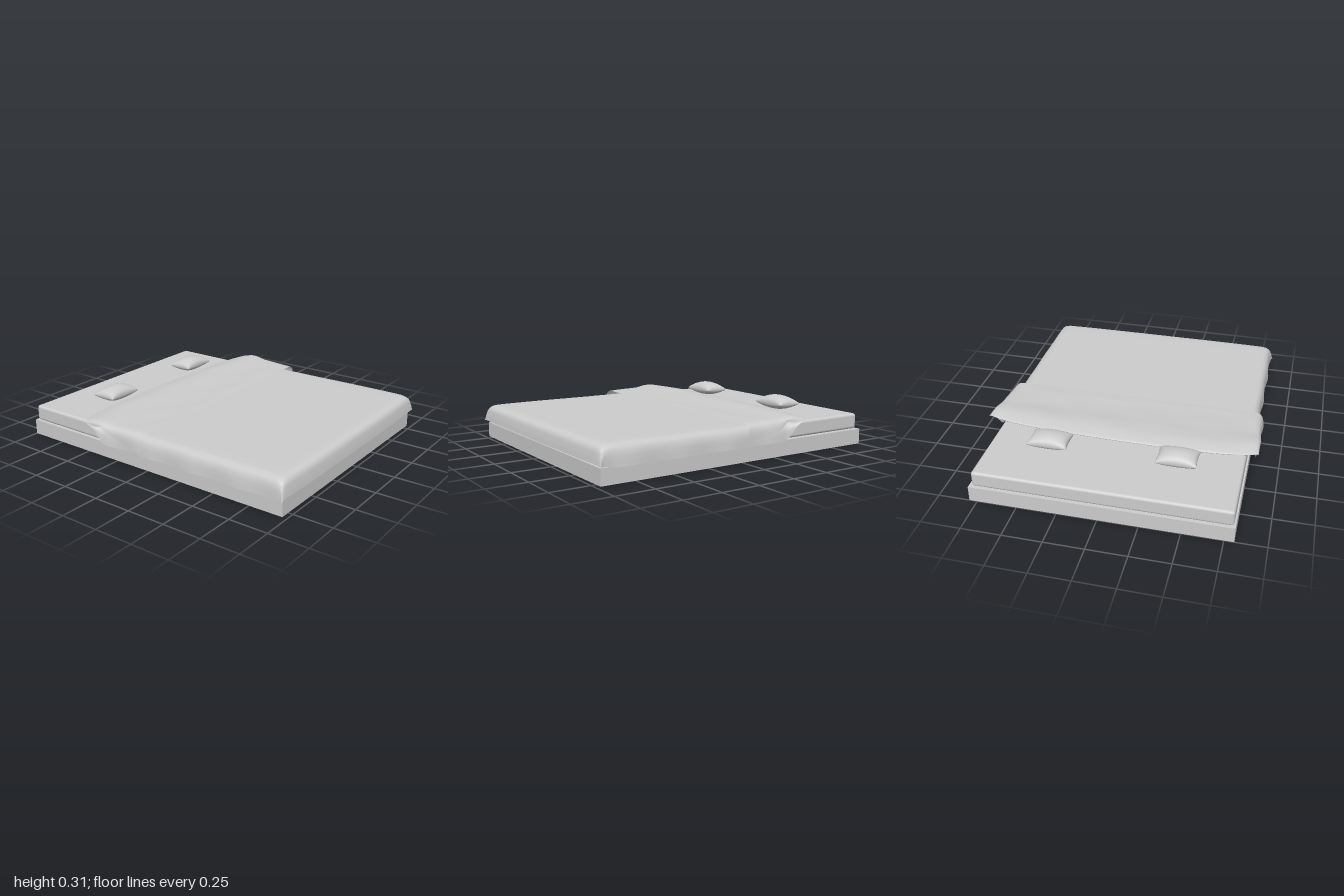
import * as THREE from 'three';
import { mergeVertices } from 'three/addons/utils/BufferGeometryUtils.js';
import { RoundedBoxGeometry } from 'three/addons/geometries/RoundedBoxGeometry.js';

const linen = new THREE.MeshStandardMaterial({ color: 0xcccccc, side: THREE.DoubleSide });
linen.name = 'pale grey';

function part(name, geometry, x = 0, y = 0, z = 0) {
  const mesh = new THREE.Mesh(geometry, linen);
  mesh.name = name;
  mesh.position.set(x, y, z);
  return mesh;
}

// Blanket rows from foot hem, over the bed, round the fold and back:
// [x, top y, side hem y, half width]
const rows = [
  [0.997, 0.118, 0.108, 0.838], [0.99, 0.16, 0.112, 0.836], [0.978, 0.2, 0.112, 0.832],
  [0.95, 0.22, 0.108, 0.83], [0.88, 0.226, 0.1, 0.83], [0.6, 0.226, 0.1, 0.832],
  [0.25, 0.223, 0.1, 0.833], [0, 0.222, 0.1, 0.833], [-0.2, 0.219, 0.102, 0.835],
  [-0.34, 0.216, 0.106, 0.845], [-0.4, 0.217, 0.14, 0.855], [-0.46, 0.222, 0.195, 0.865],
  [-0.505, 0.229, 0.222, 0.872], [-0.514, 0.238, 0.228, 0.876], [-0.49, 0.247, 0.226, 0.878],
  [-0.42, 0.258, 0.222, 0.876], [-0.34, 0.257, 0.228, 0.868], [-0.25, 0.25, 0.19, 0.868],
  [-0.14, 0.246, 0.153, 0.868], [-0.06, 0.245, 0.14, 0.866], [0, 0.243, 0.14, 0.862],
];
// Side drape: [inset from half width, fraction of the drop]
const drape = [[0, 1], [0.002, 0.8], [0.004, 0.55], [0.01, 0.32], [0.022, 0.14], [0.042, 0.04], [0.075, 0]];

function blanketGeometry() {
  const curve = (i) => new THREE.CatmullRomCurve3(
    rows.map((r) => new THREE.Vector3(r[i], r[i + 1], 0)), false, 'catmullrom', 0.5);
  const spine = curve(0), sides = curve(2);
  const flat = 16, steps = (rows.length - 1) * 5;
  const pos = [], index = [];
  let cols = 0;
  for (let i = 0; i <= steps; i++) {
    const a = spine.getPoint(i / steps), b = sides.getPoint(i / steps);
    const half = b.y, drop = Math.max(0, a.y - b.x);
    const section = drape.map(([inset, f]) => [-(half - inset), f]);
    const inner = half - 0.075;
    for (let k = 1; k < flat; k++) section.push([-inner + (2 * inner * k) / flat, 0]);
    for (const [inset, f] of [...drape].reverse()) section.push([half - inset, f]);
    cols = section.length;
    const upper = i / steps > 13 / 20 ? 1 : 0;
    const fold = THREE.MathUtils.smoothstep(-a.x, 0.2, 0.5);
    for (const [z, f] of section) {
      // bowed fold line and rounded foot edge
      const bow = fold * (0.04 * (z - 0.2) ** 2 + 0.045 * Math.abs(z / 0.87) ** 8);
      const foot = a.x > 0.9 ? -0.01 * (z / 0.83) ** 4 : 0;
      const ripple = 0.006 * f * Math.sin(a.x * 19 + Math.sign(z));
      const crease = upper * (1 - f) * 0.0018 * Math.sin(a.x * 22 + z * 5) * Math.sin(z * 9) * (a.x < -0.05 ? 1 : 0);
      pos.push(a.x + bow + foot, a.y - drop * f + crease, z + Math.sign(z) * ripple);
    }
  }
  for (let i = 0; i < steps; i++) {
    for (let j = 0; j < cols - 1; j++) {
      const p = i * cols + j, q = p + cols;
      index.push(p, q, p + 1, p + 1, q, q + 1);
    }
  }
  const g = new THREE.BufferGeometry();
  g.setAttribute('position', new THREE.Float32BufferAttribute(pos, 3));
  g.setIndex(index);
  g.computeVertexNormals();
  return g;
}

// Cushion: a box puffed in the middle and pinched at its seam
function pillowGeometry() {
  let g = new THREE.BoxGeometry(2, 2, 2, 20, 1, 20);
  const p = g.attributes.position;
  for (let i = 0; i < p.count; i++) {
    const u = Math.sin((p.getX(i) * Math.PI) / 2), v = Math.sin((p.getZ(i) * Math.PI) / 2);
    const puff = Math.max(0, (1 - u * u) * (1 - v * v)) ** 0.42;
    p.setXYZ(i,
      0.084 * u * (1 - 0.07 * (1 - v * v)),
      (p.getY(i) > 0 ? 0.052 : -0.042) * puff,
      0.127 * v * (1 - 0.06 * (1 - u * u)));
  }
  g.deleteAttribute('normal');
  g.deleteAttribute('uv');
  g = mergeVertices(g, 1e-5);
  g.computeVertexNormals();
  return g;
}

export function createModel() {
  const bed = new THREE.Group();
  bed.name = 'bed';
  bed.add(part('base', new THREE.BoxGeometry(1.97, 0.1, 1.61), -0.015, 0.05, 0.005));
  bed.add(part('mattress', new RoundedBoxGeometry(1.945, 0.102, 1.58, 4, 0.018), -0.014, 0.152, 0.01));
  bed.add(part('blanket', blanketGeometry()));
  const pillow = pillowGeometry();
  bed.add(part('leftPillow', pillow, -0.626, 0.259, 0.407));
  bed.add(part('rightPillow', pillow, -0.626, 0.259, -0.395));
  return bed;
}
